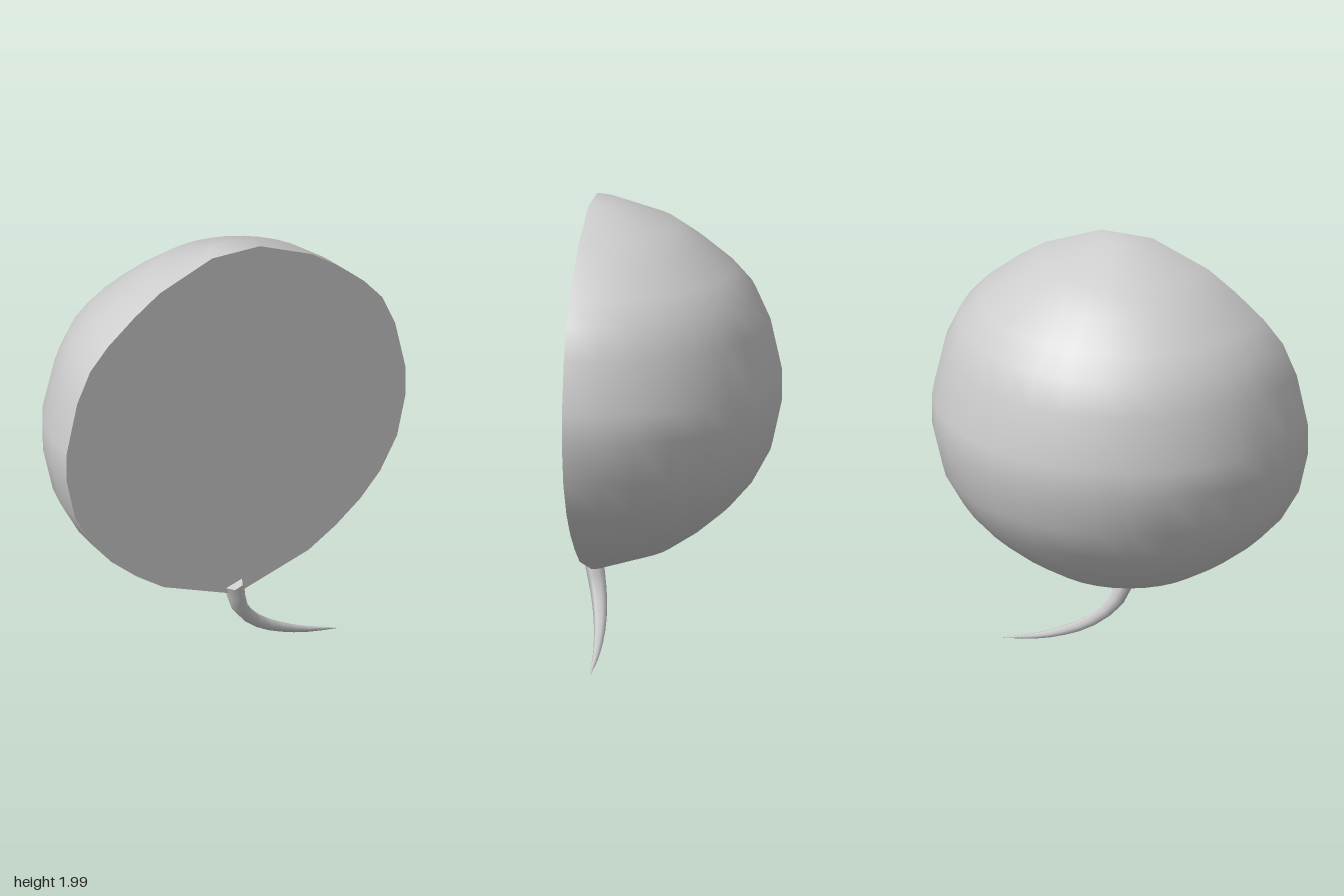
import * as THREE from 'three';

const FRONT_Z = 0.39, DEPTH = 0.965;

export function createModel() {
  const model = new THREE.Group();
  const grey = new THREE.MeshStandardMaterial({ color: 0xcccccc });
  grey.name = 'plain grey';
  const add = (geometry, name, parent = model) => {
    const mesh = new THREE.Mesh(geometry, grey);
    mesh.name = name;
    parent.add(mesh);
    return mesh;
  };

  // Half-outline of the body, bottom to top: radius, height
  const profile = [
    [0, 0.35], [0.04, 0.355], [0.365, 0.465], [0.5, 0.55], [0.625, 0.65], [0.725, 0.76],
    [0.81, 0.91], [0.853, 1.1], [0.853, 1.23], [0.8, 1.46], [0.735, 1.6], [0.645, 1.7],
    [0.51, 1.81], [0.385, 1.895], [0.12, 2], [0, 2],
  ].map(([r, y]) => new THREE.Vector2(r, y));

  // Rounded back: half a revolution, slightly flattened in depth
  const dome = new THREE.LatheGeometry(profile, 16, Math.PI / 2, Math.PI);
  dome.scale(1, 1, DEPTH).translate(0, 0, FRONT_Z);
  add(dome, 'roundedBack');

  // Flat front face closing the half body
  const mirrored = profile.slice(1, -1).reverse().map(p => new THREE.Vector2(-p.x, p.y));
  const face = new THREE.ShapeGeometry(new THREE.Shape([...profile.slice(0, -1), ...mirrored]));
  add(face.translate(0, 0, FRONT_Z), 'flatFront');

  // Curved tail: a six-sided tube that tapers to a point
  const tail = new THREE.Group();
  tail.name = 'tail';
  model.add(tail);
  const path = new THREE.CatmullRomCurve3([
    [-0.01, 0.395, 0.39], [0.035, 0.26, 0.36], [0.145, 0.15, 0.335],
    [0.34, 0.058, 0.318], [0.55, 0.006, 0.313],
  ].map(p => new THREE.Vector3(...p)));
  const segments = 10, sides = 6;
  const tube = new THREE.TubeGeometry(path, segments, 1, sides);
  const position = tube.attributes.position, normal = tube.attributes.normal;
  const point = new THREE.Vector3(), centre = new THREE.Vector3(), out = new THREE.Vector3();
  for (let i = 0; i < position.count; i++) {
    const t = Math.floor(i / (sides + 1)) / segments;
    path.getPointAt(t, centre);
    out.fromBufferAttribute(normal, i);
    point.copy(centre).addScaledVector(out, 0.042 * (1 - t) ** 0.8 + 0.001);
    position.setXYZ(i, point.x, point.y, point.z);
  }
  add(tube, 'taperedTail', tail);

  // Cap over the thick end of the tail
  const cap = add(new THREE.CircleGeometry(0.042, sides), 'tailCap', tail);
  cap.position.copy(path.getPointAt(0));
  cap.lookAt(cap.position.clone().sub(path.getTangentAt(0)));

  return model;
}
